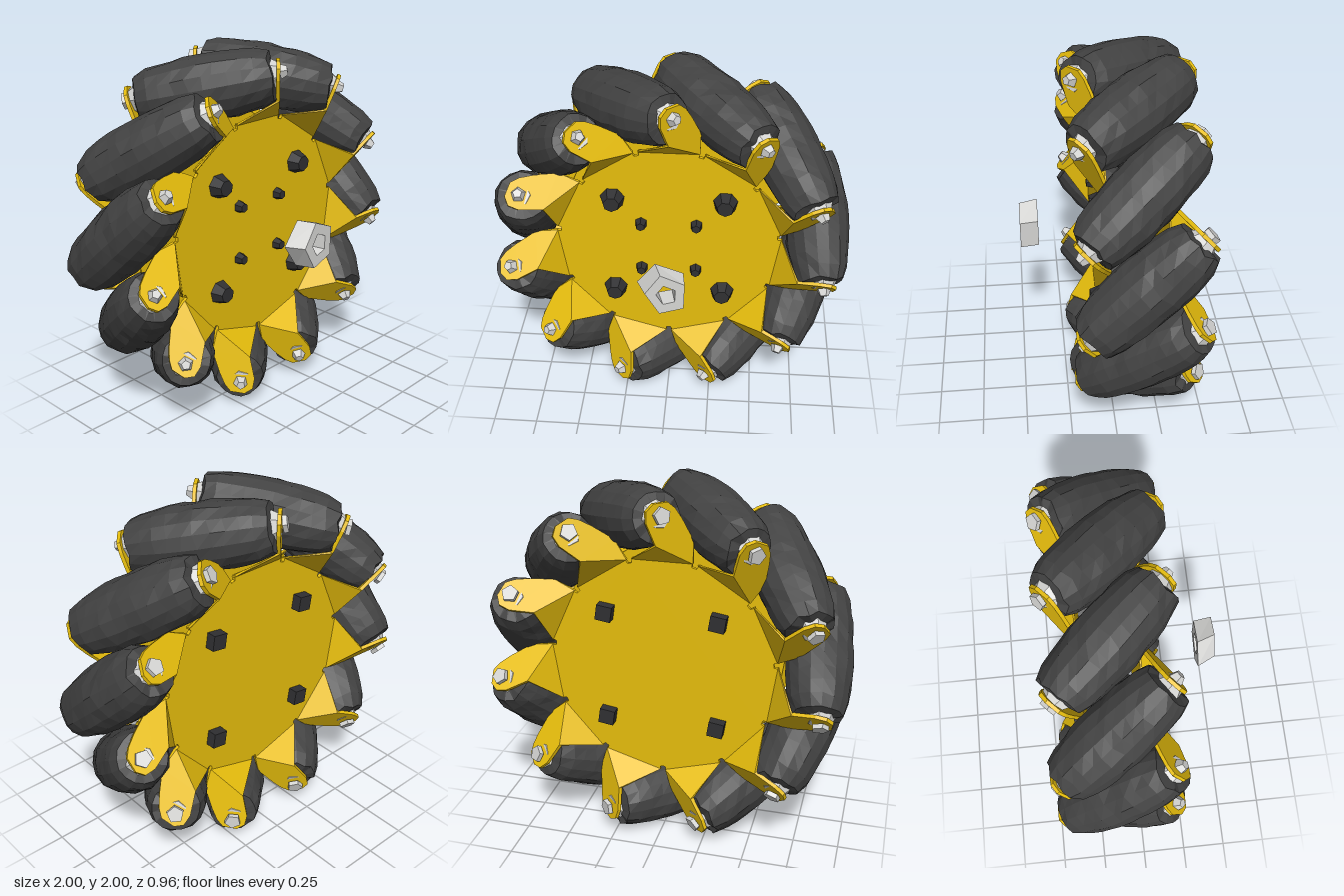
import * as THREE from 'three';

const COUNT = 11, STEP = (Math.PI * 2) / COUNT;
const TILT = 0.75;                     // roller skew against the wheel axle
const ROLLER_R = 0.824;                // roller axis distance from the wheel centre
const HALF = 0.372;                    // half length of a roller
const PLATE_Z = 0.17;                  // front face of the hub plate, from wheel centre
const AXIS = new THREE.Vector3(Math.sin(TILT), 0, Math.cos(TILT));
const UP = new THREE.Vector3(0, 1, 0);

const mat = (name, color, side = THREE.FrontSide) =>
  Object.assign(new THREE.MeshStandardMaterial({ color, side, flatShading: true }), { name });

function mesh(name, geometry, material, position) {
  const m = new THREE.Mesh(geometry, material);
  m.name = name;
  if (position) m.position.copy(position);
  return m;
}

// Repeatable noise in -1..1
function noise(a, b) {
  const s = Math.sin(a * 127.1 + b * 311.7) * 43758.5453;
  return (s - Math.floor(s)) * 2 - 1;
}

// Barrel whose tilted outline follows the round tread, with a rough surface
function rollerGeometry() {
  const rows = 11, seg = 16, profile = [new THREE.Vector2(0.05, -HALF)];
  for (let i = 0; i < rows; i++) {
    const s = (i / (rows - 1) * 2 - 1) * (HALF - 0.012);
    const r = 1.002 - Math.hypot(ROLLER_R, s * Math.sin(TILT));
    profile.push(new THREE.Vector2(i === 0 || i === rows - 1 ? r - 0.012 : r, s));
  }
  profile.push(new THREE.Vector2(0.05, HALF));
  const g = new THREE.LatheGeometry(profile, seg), p = g.attributes.position;
  const n = profile.length;
  for (let i = 0; i < p.count; i++) {
    const row = i % n, col = Math.floor(i / n) % seg;
    if (row === 0 || row === n - 1) continue;
    const k = 1 + 0.035 * noise(row, col);
    p.setXYZ(i, p.getX(i) * k, p.getY(i) + 0.012 * noise(col + 5, row), p.getZ(i) * k);
  }
  return g;
}

// Hub plate: eleven straight edges with a notch at each corner
function plateGeometry() {
  const shape = new THREE.Shape(), edge = 0.16, apothem = 0.612;
  for (let k = 0; k < COUNT; k++) {
    const a = k * STEP, c = Math.cos(a), s = Math.sin(a);
    const at = (t, r) => [t * c - r * s, t * s + r * c];
    if (k === 0) shape.moveTo(...at(edge, apothem));
    else shape.lineTo(...at(edge, apothem));
    shape.lineTo(...at(-edge, apothem));
    for (const d of [-0.02, 0.02]) {
      const n = a + STEP / 2 + d;
      shape.lineTo(-Math.sin(n) * 0.607, Math.cos(n) * 0.607);
    }
  }
  shape.closePath();
  return new THREE.ExtrudeGeometry(shape, { depth: 0.02, bevelEnabled: false });
}

// Bent tab: a fold from the plate edge, then an ear square to the roller axis
function tabGeometry() {
  const u = new THREE.Vector3(Math.cos(TILT), 0, -Math.sin(TILT));
  const ear = new THREE.Vector3(0.036, 0, 0.29);
  const earBack = AXIS.clone().multiplyScalar(0.02);
  const rows = [];
  const addRow = (l, r, back) => rows.push([l, r, r.clone().sub(back), l.clone().sub(back)]);
  addRow(new THREE.Vector3(-0.165, 0.605, PLATE_Z), new THREE.Vector3(0.165, 0.605, PLATE_Z),
    new THREE.Vector3(0, 0, 0.02));
  // height, then left and right reach along the ear
  for (const [y, left, right] of [[0.73, -0.035, 0.18], [0.85, -0.085, 0.115], [0.91, -0.085, 0.075], [0.945, -0.045, 0.035]]) {
    const at = (t) => ear.clone().addScaledVector(u, t).setY(y);
    addRow(at(left), at(right), earBack);
  }
  const pts = [];
  const quad = (a, b, c, d) => pts.push(a, b, c, a, c, d);
  for (let j = 0; j < rows.length - 1; j++)
    for (let i = 0; i < 4; i++) {
      const n = (i + 1) % 4, lo = rows[j], hi = rows[j + 1];
      if (i === 2) quad(lo[i], lo[n], hi[n], hi[i]);
      else quad(lo[n], hi[n], hi[i], lo[i]);
    }
  quad(...rows[rows.length - 1]);
  const g = new THREE.BufferGeometry().setFromPoints(pts);
  g.computeVertexNormals();
  return g;
}

// Five-sided tube nut, its front end narrowed and leaning to one side
function nutGeometry(outer, inner, depth) {
  const ring = (r) => Array.from({ length: 5 }, (_, i) => {
    const a = i * Math.PI * 0.4 + 0.6;
    return new THREE.Vector2(Math.cos(a) * r, Math.sin(a) * r);
  });
  const shape = new THREE.Shape(ring(outer));
  shape.holes.push(new THREE.Path(ring(inner)));
  const g = new THREE.ExtrudeGeometry(shape, { depth, bevelEnabled: false }), p = g.attributes.position;
  for (let i = 0; i < p.count; i++)
    if (p.getZ(i) > depth / 2) p.setX(i, p.getX(i) * 0.85 + 0.03);
  return g;
}

export function createModel() {
  const yellow = mat('yellow metal', 0xe6bd0c, THREE.DoubleSide);
  const rubber = mat('dark rubber', 0x424242);
  const black = mat('black bolts', 0x303032);
  const steel = mat('light steel', 0xd6d6d4);

  const model = new THREE.Group();
  model.name = 'rollerWheel';
  const wheel = new THREE.Group();
  wheel.name = 'wheel';
  wheel.position.set(0, 1, -0.12);
  model.add(wheel);

  const roller = rollerGeometry(), plate = plateGeometry(), tab = tabGeometry();
  const collar = new THREE.CylinderGeometry(0.06, 0.085, 0.04, 7);
  const frontNut = new THREE.CylinderGeometry(0.025, 0.042, 0.04, 5);
  const backNut = new THREE.CylinderGeometry(0.046, 0.046, 0.025, 5);
  const tilt = new THREE.Quaternion().setFromUnitVectors(UP, AXIS);
  const onAxis = (s, r = ROLLER_R) => AXIS.clone().multiplyScalar(s).setY(r);

  // Hub plates; the back one is the front one turned about the vertical
  for (const side of ['front', 'back']) {
    const half = new THREE.Group();
    half.name = side + 'Hub';
    half.rotation.y = side === 'front' ? 0 : Math.PI;
    const disc = mesh(side + 'Plate', plate, yellow, new THREE.Vector3(0, 0, PLATE_Z - 0.02));
    disc.rotation.z = Math.PI + STEP / 2;
    half.add(disc);
    wheel.add(half);
  }

  // Rollers, each held by a front and a back tab
  for (let k = 0; k < COUNT; k++) {
    const unit = new THREE.Group();
    unit.name = 'rollerUnit' + (k + 1);
    unit.rotation.z = Math.PI + k * STEP;
    const body = mesh('roller', roller, rubber, onAxis(0));
    body.quaternion.copy(tilt).multiply(new THREE.Quaternion().setFromAxisAngle(UP, k * 1.7));
    unit.add(body);
    for (const side of ['front', 'back']) {
      const holder = new THREE.Group();
      holder.name = side + 'Holder';
      holder.rotation.y = side === 'front' ? 0 : Math.PI;
      const ear = mesh('tab', tab, yellow);
      ear.rotation.z = -STEP / 2;
      const hub = mesh('axleCollar', collar, steel, onAxis(HALF + 0.005, 0.835));
      const nut = mesh('axleNut', side === 'front' ? frontNut : backNut, steel, onAxis(0.425, 0.838));
      hub.quaternion.copy(tilt);
      nut.quaternion.copy(tilt);
      holder.add(ear, hub, nut);
      unit.add(holder);
    }
    wheel.add(unit);
  }

  // Plate bolts: large and small in front, square ends behind
  const large = new THREE.CylinderGeometry(0.045, 0.07, 0.07, 7).rotateX(Math.PI / 2);
  const small = new THREE.CylinderGeometry(0.025, 0.037, 0.05, 6).rotateX(Math.PI / 2);
  const square = new THREE.BoxGeometry(0.085, 0.085, 0.06).rotateZ(0.15);
  for (const x of [-1, 1])
    for (const y of [-1, 1])
      wheel.add(
        mesh('largeBolt', large, black, new THREE.Vector3(x * 0.307, y * 0.307, PLATE_Z + 0.03)),
        mesh('smallBolt', small, black, new THREE.Vector3(x * 0.153, y * 0.153, PLATE_Z + 0.02)),
        mesh('boltEnd', square, black, new THREE.Vector3(x * 0.307, y * 0.307, -PLATE_Z - 0.025)));

  // Loose centre nut in front of the hub
  model.add(mesh('centreNut', nutGeometry(0.135, 0.065, 0.1), steel, new THREE.Vector3(-0.01, 1, 0.38)));
  return model;
}
